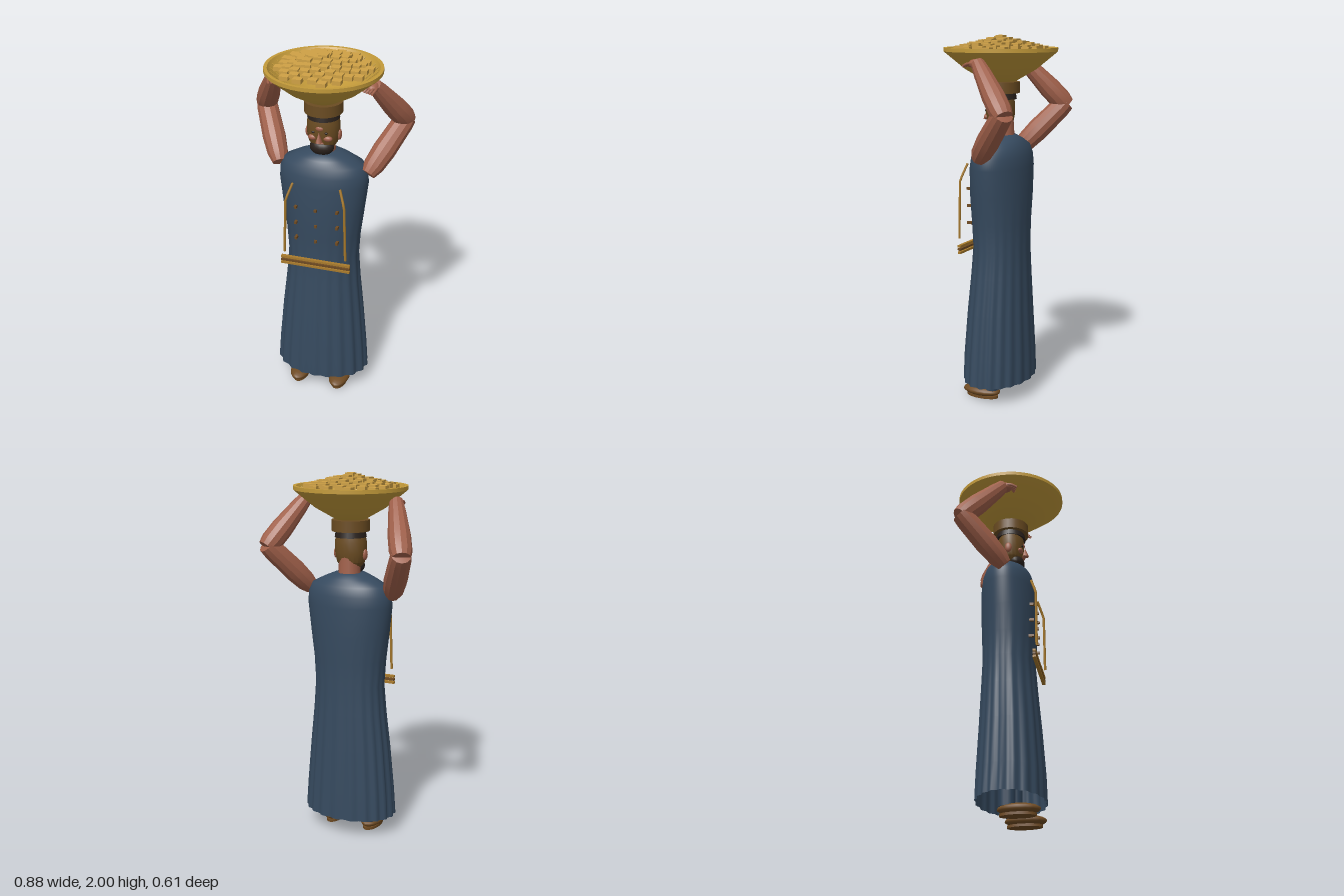
import * as THREE from 'three';
import { toCreasedNormals } from 'three/addons/utils/BufferGeometryUtils.js';

const paint = (name, color) => {
  const m = new THREE.MeshStandardMaterial({ color, side: THREE.DoubleSide });
  m.name = name;
  return m;
};
const V = (x, y, z) => new THREE.Vector3(x, y, z);

export function createModel() {
  const model = new THREE.Group();
  model.name = 'basketCarrier';
  const mat = {
    robe: paint('robe blue', 0x364a5f),
    trousers: paint('trouser blue', 0x2f4358),
    skin: paint('skin', 0xa0604a),
    hair: paint('hair brown', 0x6b4c22),
    beard: paint('beard black', 0x2a211c),
    leather: paint('leather brown', 0x6e4a22),
    gold: paint('basket gold', 0xc39a3a),
    bar: paint('bar gold', 0xcfa145),
    trim: paint('trim gold', 0xa87a2c),
  };
  const add = (name, geometry, material, x = 0, y = 0, z = 0, parent = model) => {
    const m = new THREE.Mesh(geometry, material);
    m.name = name;
    m.position.set(x, y, z);
    parent.add(m);
    return m;
  };
  const ball = (name, material, x, y, z, rx, ry, rz, parent) => {
    const m = add(name, new THREE.SphereGeometry(1, 16, 12), material, x, y, z, parent);
    m.scale.set(rx, ry, rz);
    return m;
  };
  const lathe = (pts, n) => toCreasedNormals(
    new THREE.LatheGeometry(pts.map(([r, y]) => new THREE.Vector2(r, y)), n), 0.5);

  // Robe: stacked oval rings [y, half width, half depth, centre z, fold depth]
  const rings = [
    [0.1, 0.262, 0.182, 0.003, 0.03], [0.25, 0.252, 0.178, 0.003, 0.028],
    [0.5, 0.23, 0.164, 0, 0.024], [0.7, 0.209, 0.152, -0.005, 0.018],
    [0.86, 0.198, 0.144, -0.008, 0.01], [1.0, 0.208, 0.149, -0.006, 0.004],
    [1.15, 0.227, 0.155, -0.006, 0], [1.3, 0.245, 0.152, -0.008, 0],
    [1.36, 0.241, 0.144, -0.01, 0], [1.41, 0.218, 0.13, -0.01, 0],
    [1.445, 0.15, 0.105, -0.008, 0], [1.472, 0.085, 0.075, -0.004, 0],
    [1.474, 0.001, 0.001, -0.004, 0],
  ];
  const N = 96, pos = [], idx = [];
  rings.forEach(([y, w, d, cz, fold], j) => {
    for (let i = 0; i < N; i++) {
      const a = (i / N) * Math.PI * 2;
      const k = 1 + fold * Math.cos(a * 20 + 0.8 * Math.sin(a * 3));
      pos.push(Math.sin(a) * w * k, y, cz + Math.cos(a) * d * k);
      if (j === 0) continue;
      const n = (i + 1) % N, lo = (j - 1) * N, hi = j * N;
      idx.push(lo + i, lo + n, hi + n, lo + i, hi + n, hi + i);
    }
  });
  const robe = new THREE.BufferGeometry();
  robe.setAttribute('position', new THREE.Float32BufferAttribute(pos, 3));
  robe.setIndex(idx);
  robe.computeVertexNormals();
  add('robe', robe, mat.robe);

  // Belt bars and buttons
  for (let i = 0; i < 3; i++) {
    add('beltBar', new THREE.BoxGeometry(0.39, 0.012, 0.018), i === 1 ? mat.leather : mat.trim,
      0, 0.834 + i * 0.018, 0.156);
    for (const x of [-0.115, 0, 0.115]) {
      add('button', new THREE.BoxGeometry(0.014, 0.014, 0.03), mat.leather,
        x, 0.99 + i * 0.095, x ? 0.132 : 0.143);
    }
  }

  // Arm segment with a faceted, slightly swollen outline
  const limb = (name, a, b, radii, parent) => {
    const dir = b.clone().sub(a), len = dir.length();
    const pts = radii.map(([r, t]) => [r, t * len]);
    const m = add(name, lathe(pts, 12), mat.skin, a.x, a.y, a.z, parent);
    m.quaternion.setFromUnitVectors(V(0, 1, 0), dir.normalize());
  };

  // Everything paired left and right
  for (const s of [1, -1]) {
    const side = new THREE.Group();
    side.name = s > 0 ? 'leftSide' : 'rightSide';
    model.add(side);

    const shoulder = V(s * 0.25, 1.375, 0), elbow = V(s * 0.39, 1.615, -0.205), wrist = V(s * 0.265, 1.865, 0);
    limb('upperArm', shoulder, elbow,
      [[0, -0.03], [0.04, -0.03], [0.056, 0.12], [0.063, 0.4], [0.058, 0.9], [0.052, 1.03], [0, 1.05]], side);
    limb('forearm', elbow, wrist,
      [[0, -0.06], [0.05, -0.04], [0.06, 0.08], [0.06, 0.35], [0.046, 0.8], [0.036, 1], [0, 1.02]], side);

    // Hand with fingers reaching forward under the rim
    ball('palm', mat.skin, s * 0.26, 1.858, 0.01, 0.034, 0.026, 0.042, side);
    for (let f = 0; f < 4; f++) {
      const x = s * (0.285 - f * 0.016);
      const path = new THREE.CatmullRomCurve3(
        [V(x, 1.862, 0.01), V(x, 1.86, 0.045), V(x - s * 0.012, 1.846, 0.08 - f * 0.007)]);
      add('finger', new THREE.TubeGeometry(path, 6, 0.0075, 6), mat.skin, 0, 0, 0, side);
    }

    // Legs and shoes
    add('leg', new THREE.CylinderGeometry(0.045, 0.043, 0.3, 14), mat.trousers, s * 0.115, 0.2, 0, side);
    ball('shoe', mat.leather, s * 0.118, 0.036, 0.06, 0.06, 0.03, 0.112, side);
    const sole = add('sole', new THREE.CylinderGeometry(1, 1, 0.014, 20), mat.leather, s * 0.118, 0.007, 0.055, side);
    sole.scale.set(0.045, 1, 0.095);

    // Chest cord
    const cord = new THREE.CurvePath();
    const pts = [V(s * 0.13, 1.32, 0.135), V(s * 0.162, 1.23, 0.165), V(s * 0.172, 0.91, 0.167)];
    cord.add(new THREE.LineCurve3(pts[0], pts[1]));
    cord.add(new THREE.LineCurve3(pts[1], pts[2]));
    add('chestCord', new THREE.TubeGeometry(cord, 12, 0.007, 6), mat.trim, 0, 0, 0, side);

    ball('ear', mat.skin, s * 0.086, 1.572, 0, 0.013, 0.03, 0.02, side);
    ball('cheek', mat.skin, s * 0.04, 1.567, 0.062, 0.026, 0.016, 0.016, side);
    ball('eye', mat.beard, s * 0.035, 1.6, 0.072, 0.009, 0.006, 0.006, side);
  }

  // Neck and head
  add('neck', new THREE.CylinderGeometry(0.055, 0.062, 0.12, 16), mat.skin, 0, 1.5, -0.015);
  const head = add('head', lathe(
    [[0, 1.495], [0.055, 1.5], [0.078, 1.53], [0.088, 1.58], [0.088, 1.64], [0.08, 1.68], [0, 1.69]], 20),
    mat.hair, 0, 0, 0.002);
  head.scale.z = 0.86;
  ball('forehead', mat.skin, 0, 1.622, 0.068, 0.024, 0.016, 0.014);
  const nose = add('nose', new THREE.ConeGeometry(0.018, 0.055, 8), mat.skin, 0, 1.578, 0.084);
  nose.scale.z = 1.2;
  ball('mouth', mat.skin, 0, 1.541, 0.07, 0.022, 0.007, 0.01);
  ball('beard', mat.beard, 0, 1.505, 0.032, 0.066, 0.046, 0.048);

  // Headband and carrying pad
  add('headband', new THREE.CylinderGeometry(0.08, 0.086, 0.035, 24), mat.beard, 0, 1.68, 0);
  add('carryingPad', new THREE.CylinderGeometry(0.102, 0.102, 0.06, 28), mat.hair, 0, 1.725, 0);

  // Basket bowl with a thick rim
  add('basket', lathe([[0, 1.755], [0.08, 1.757], [0.19, 1.82], [0.3, 1.91], [0.305, 1.915], [0.305, 1.935],
    [0.287, 1.935], [0.275, 1.915], [0.19, 1.84], [0.1, 1.8], [0, 1.795]], 48), mat.gold);

  // Ribs lining the bowl
  for (let i = 0; i < 32; i++) {
    const a = (i / 32) * Math.PI * 2;
    const path = new THREE.LineCurve3(V(Math.sin(a) * 0.19, 1.843, Math.cos(a) * 0.19),
      V(Math.sin(a) * 0.276, 1.92, Math.cos(a) * 0.276));
    add('basketRib', new THREE.TubeGeometry(path, 1, 0.004, 5), mat.gold);
  }

  // Heaped bars on a sunflower spiral
  const bar = new THREE.BoxGeometry(0.046, 0.022, 0.042);
  for (let i = 0; i < 70; i++) {
    const r = 0.236 * Math.sqrt(i / 69), a = i * 2.39996;
    add('goldBar', bar, mat.bar, Math.cos(a) * r, 1.989 - r * 0.255, Math.sin(a) * r);
  }
  return model;
}
